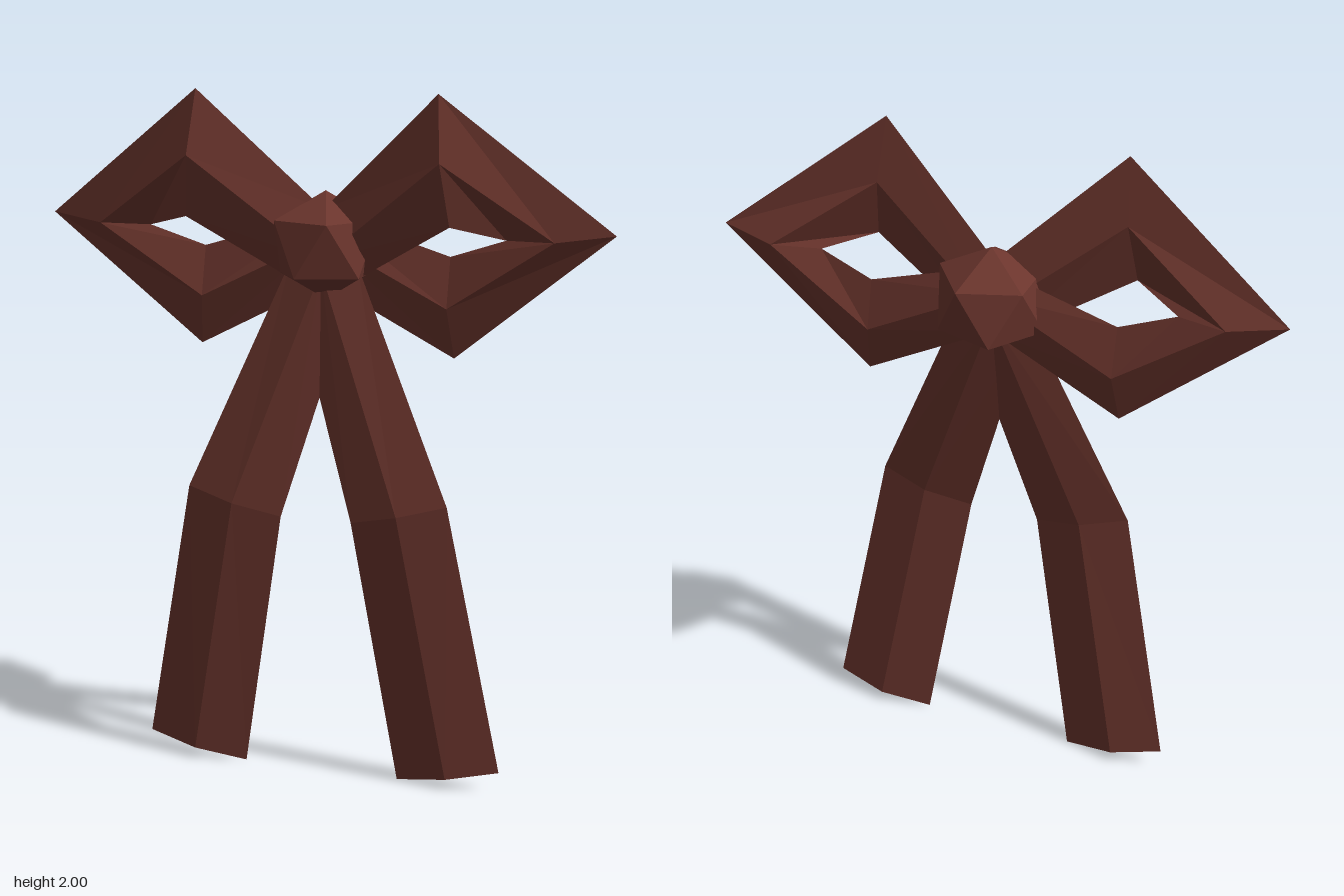
import * as THREE from 'three';

// Four-sided ribbon through cross-sections ordered outer, front, inner, back
function ribbon(sections, side, material, name) {
  const pos = [];
  const tri = (a, b, c) => {
    const order = side > 0 ? [a, b, c] : [a, c, b];
    for (const p of order) pos.push(p[0] * side, p[1], p[2]);
  };
  const quad = (a, b, c, d) => { tri(a, b, c); tri(a, c, d); };
  for (let s = 0; s < sections.length - 1; s++) {
    for (let i = 0; i < 4; i++) {
      const j = (i + 1) % 4;
      quad(sections[s][i], sections[s][j], sections[s + 1][j], sections[s + 1][i]);
    }
  }
  const first = sections[0], last = sections[sections.length - 1];
  quad(first[3], first[2], first[1], first[0]);
  quad(last[0], last[1], last[2], last[3]);
  const geometry = new THREE.BufferGeometry();
  geometry.setAttribute('position', new THREE.Float32BufferAttribute(pos, 3));
  geometry.computeVertexNormals();
  const mesh = new THREE.Mesh(geometry, material);
  mesh.name = name;
  return mesh;
}

// Diamond section: outer and inner corners, ridge point, middle depth and half thickness
const diamond = (outer, ridge, inner, z, t) => [
  [...outer, z], [...ridge, z + t], [...inner, z], [...ridge, z - t],
];

// Faceted knot: two staggered rings of five between two poles
function knotGeometry() {
  const ring = 0.152, h = 0.076, pole = 0.154;
  const pos = [];
  const point = (k, upper) => {
    const a = (k * 2 + (upper ? 0 : 1)) * Math.PI / 5;
    return [ring * Math.cos(a), upper ? h : -h, -ring * Math.sin(a)];
  };
  for (let k = 0; k < 5; k++) {
    const u0 = point(k, true), u1 = point(k + 1, true);
    const l0 = point(k, false), l1 = point(k + 1, false);
    pos.push(...u0, ...u1, 0, pole, 0);
    pos.push(...u0, ...l0, ...u1);
    pos.push(...l0, ...l1, ...u1);
    pos.push(...l1, ...l0, 0, -pole, 0);
  }
  const geometry = new THREE.BufferGeometry();
  geometry.setAttribute('position', new THREE.Float32BufferAttribute(pos, 3));
  geometry.computeVertexNormals();
  return geometry;
}

export function createModel() {
  const group = new THREE.Group();
  group.name = 'ribbonBow';
  const fabric = new THREE.MeshStandardMaterial({ color: 0x6b352d });
  fabric.name = 'darkRedFabric';
  fabric.flatShading = true;

  // Loop: out of the knot, over the top corner, round the tip and back
  const loop = [
    diamond([0, 1.67], [0, 1.53], [0.02, 1.43], 0.02, 0.035),
    diamond([0.345, 2.0], [0.36, 1.82], [0.38, 1.645], 0.1, 0.043),
    diamond([0.82, 1.63], [0.66, 1.61], [0.52, 1.605], 0.02, 0.04),
    diamond([0.375, 1.265], [0.36, 1.41], [0.36, 1.55], 0, 0.038),
    diamond([0, 1.46], [0, 1.59], [0, 1.66], 0, 0.03),
  ];

  // Tail: hangs from the knot, bends at the knee and ends in a slanted cut
  const tail = [
    diamond([0.1, 1.515], [0, 1.5], [-0.105, 1.49], 0.02, 0.025),
    diamond([0.385, 0.86], [0.245, 0.825], [0.105, 0.79], 0.098, 0.028),
    diamond([0.54, 0.06], [0.388, 0.032], [0.235, 0], 0.05, 0.032),
  ];

  for (const [side, label] of [[1, 'left'], [-1, 'right']]) {
    group.add(ribbon(loop, side, fabric, label + 'Loop'));
    group.add(ribbon(tail, side, fabric, label + 'Tail'));
  }

  const knot = new THREE.Mesh(knotGeometry(), fabric);
  knot.name = 'knot';
  knot.position.set(0, 1.566, 0);
  group.add(knot);
  return group;
}
